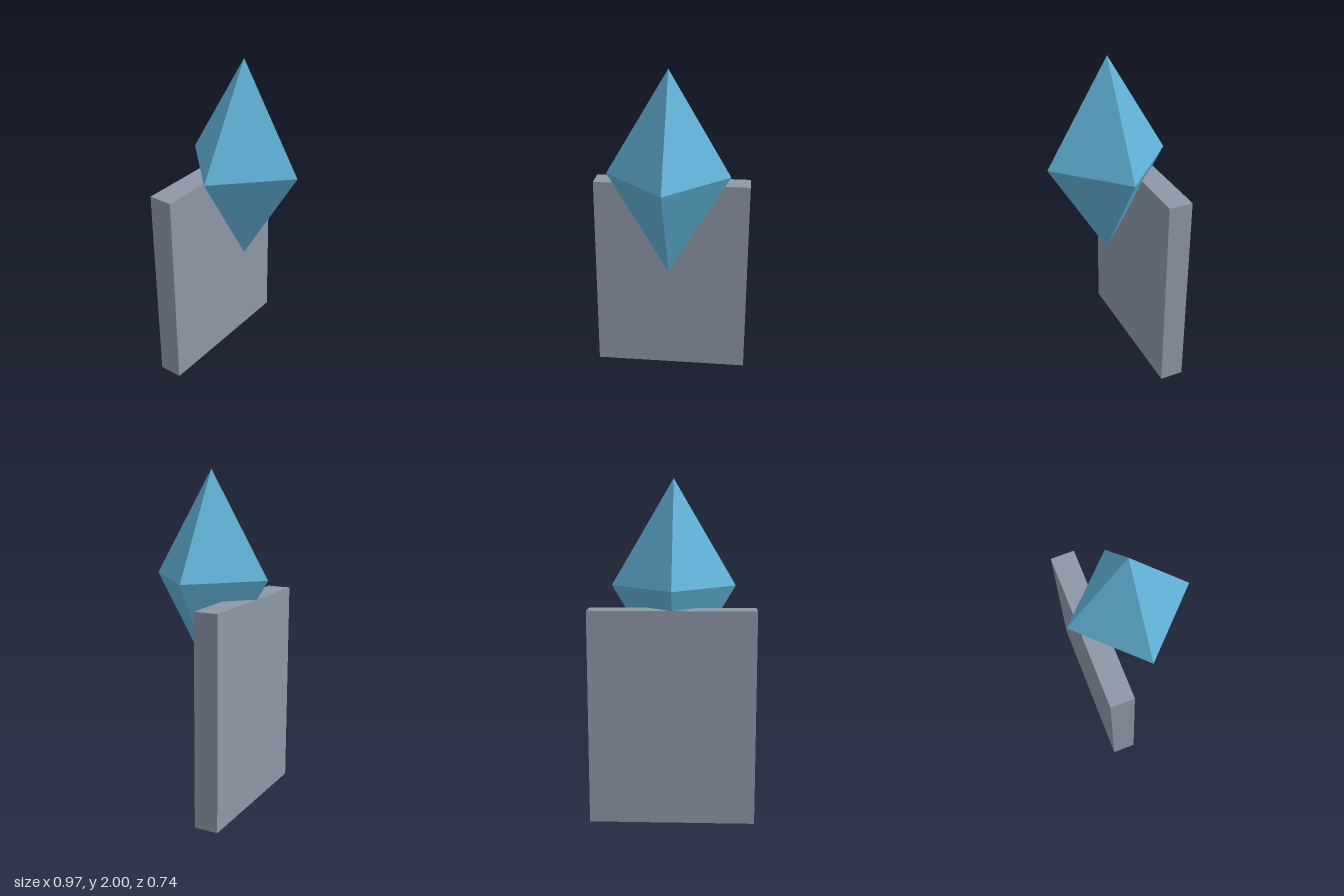
import * as THREE from 'three';

export function createModel() {
  const model = new THREE.Group();
  const slate = new THREE.MeshStandardMaterial({ color: 0x8d97a6 });
  slate.name = 'slateGrey';
  const blue = new THREE.MeshStandardMaterial({ color: 0x61b2d7 });
  blue.name = 'skyBlue';

  // Upright slab standing behind the centre
  const slab = new THREE.Mesh(new THREE.BoxGeometry(0.97, 1.26, 0.145), slate);
  slab.name = 'slab';
  slab.position.set(0, 0.63, -0.2275);
  model.add(slab);

  // Tall eight-sided crystal, its rear lower corner sunk into the slab
  const crystalGeometry = new THREE.OctahedronGeometry(1);
  crystalGeometry.scale(0.37, 0.625, 0.37);
  crystalGeometry.computeVertexNormals();
  const crystal = new THREE.Mesh(crystalGeometry, blue);
  crystal.name = 'crystal';
  crystal.position.y = 1.375;
  model.add(crystal);

  return model;
}
